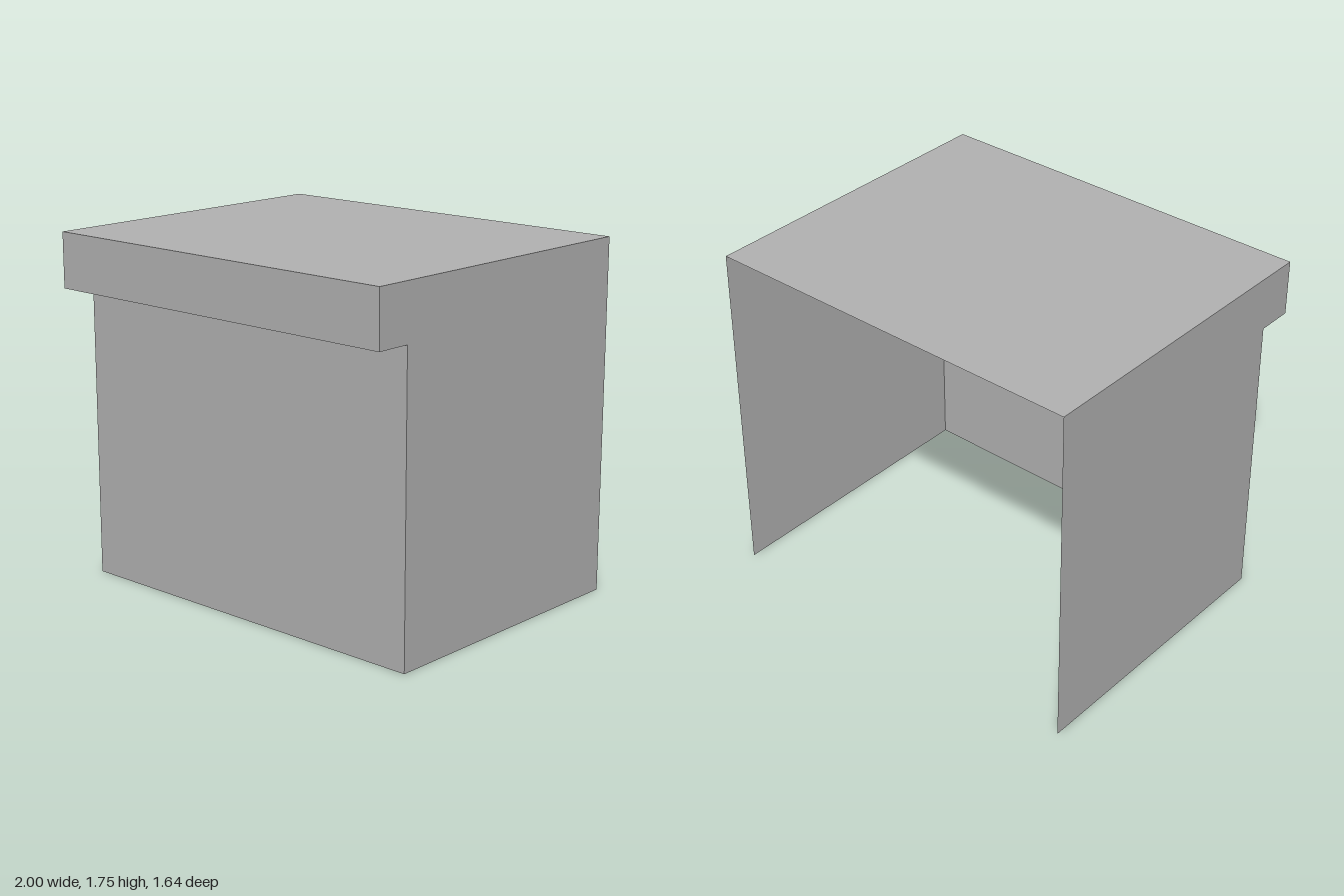
import * as THREE from 'three';

const WIDTH = 2, HEIGHT = 1.755, LIP_Y = 1.48;
const BACK = -0.82, FRONT = 0.64, LIP = 0.82;

export function createModel() {
  const group = new THREE.Group();
  const grey = new THREE.MeshStandardMaterial({ color: 0xb2b2b2, side: THREE.DoubleSide });
  grey.name = 'grey';

  const add = (name, geometry) => {
    const mesh = new THREE.Mesh(geometry, grey);
    mesh.name = name;
    group.add(mesh);
    return mesh;
  };

  // Upright sheets facing forward
  const upright = (name, y0, y1, z) =>
    add(name, new THREE.PlaneGeometry(WIDTH, y1 - y0).translate(0, (y0 + y1) / 2, z));
  upright('frontPanel', 0, LIP_Y, FRONT);
  upright('overhangFront', LIP_Y, HEIGHT, LIP);

  // Level sheets; direction -1 faces up, 1 faces down
  const level = (name, z0, z1, y, direction) =>
    add(name, new THREE.PlaneGeometry(WIDTH, z1 - z0)
      .rotateX(direction * Math.PI / 2).translate(0, y, (z0 + z1) / 2));
  level('topPanel', BACK, LIP, HEIGHT, -1);
  level('overhangUnderside', FRONT, LIP, LIP_Y, 1);

  // Side walls with the stepped profile; back and bottom stay open
  const profile = new THREE.Shape([
    [-BACK, 0], [-BACK, HEIGHT], [-LIP, HEIGHT], [-LIP, LIP_Y], [-FRONT, LIP_Y], [-FRONT, 0],
  ].map(([x, y]) => new THREE.Vector2(x, y)));
  for (const side of [1, -1]) {
    const geometry = new THREE.ShapeGeometry(profile).rotateY(Math.PI / 2);
    if (side < 0) {
      // Reverse the winding so the wall faces outward
      geometry.index.array.reverse();
      geometry.attributes.normal.array.forEach((v, i, a) => { a[i] = -v; });
    }
    geometry.translate(side * WIDTH / 2, 0, 0);
    add(side > 0 ? 'leftWall' : 'rightWall', geometry);
  }
  return group;
}
